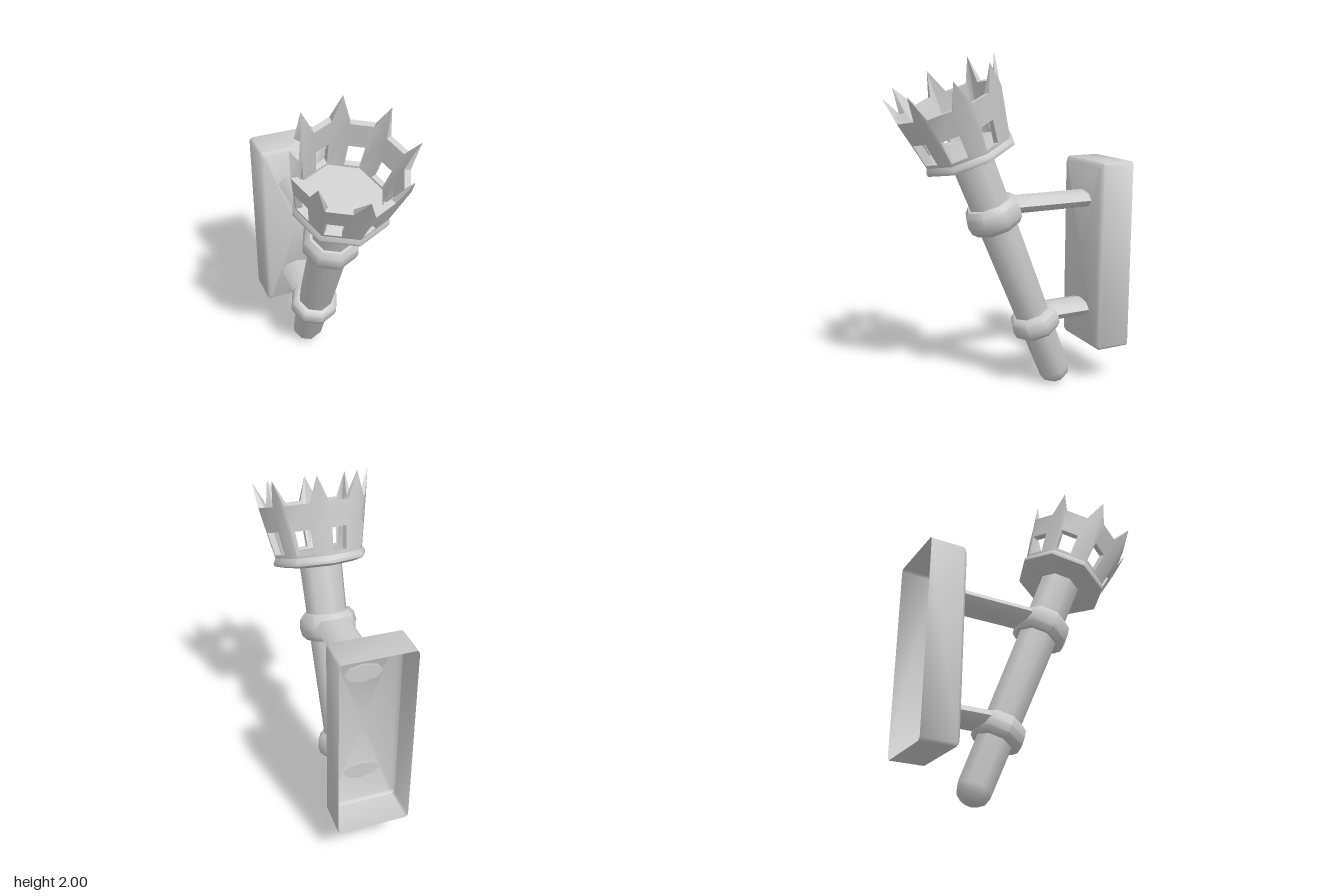
import * as THREE from 'three';
import { mergeGeometries, toCreasedNormals } from 'three/addons/utils/BufferGeometryUtils.js';

const SIDES = 8;
const grey = new THREE.MeshStandardMaterial({ color: 0xcccccc, side: THREE.DoubleSide });

function part(name, geometry, crease = 0.85) {
  const mesh = new THREE.Mesh(toCreasedNormals(geometry, crease), grey);
  mesh.name = name;
  return mesh;
}

// Eight-sided turned part from [radius, height] pairs, bottom to top
function turned(name, profile, crease) {
  return part(name, new THREE.LatheGeometry(profile.map(p => new THREE.Vector2(...p)), SIDES), crease);
}

// Swollen collar around the shaft
function collar(name, height, radius, half) {
  return turned(name, [
    [0.09, height - half], [radius - 0.035, height - half], [radius - 0.008, height - half * 0.6],
    [radius, height], [radius - 0.008, height + half * 0.6], [radius - 0.035, height + half], [0.09, height + half],
  ]);
}

// Pierced crown: one flat panel per side, each with a window and an off-centre spike
function crownGeometry() {
  const floor = 1.6, valley = 1.89, tip = 2.03, wall = 0.035;
  const panel = new THREE.Shape([
    [0, floor], [1, floor], [1, valley], [0.78, tip], [0.56, valley], [0, valley],
  ].map(p => new THREE.Vector2(...p)));
  panel.holes.push(new THREE.Path([
    [0.04, 1.62], [0.04, 1.75], [0.5, 1.75], [0.5, 1.62],
  ].map(p => new THREE.Vector2(...p))));
  const panels = [];
  for (let i = 0; i < SIDES; i++) {
    const g = new THREE.ExtrudeGeometry(panel, { depth: 1, bevelEnabled: false });
    const pos = g.attributes.position;
    const a = i * Math.PI * 2 / SIDES, b = a + Math.PI * 2 / SIDES;
    for (let k = 0; k < pos.count; k++) {
      const u = pos.getX(k), t = pos.getY(k), d = pos.getZ(k);
      // The wall flares upward and thins towards each spike tip
      const thin = 1 - 0.9 * Math.max(0, (t - valley) / (tip - valley));
      const r = 0.26 + 0.2 * (t - floor) - (1 - d) * wall * thin;
      pos.setXYZ(k,
        r * THREE.MathUtils.lerp(Math.sin(a), Math.sin(b), u), t,
        r * THREE.MathUtils.lerp(Math.cos(a), Math.cos(b), u));
    }
    panels.push(g);
  }
  return mergeGeometries(panels);
}

// Wall plate: thin shell, open at the back, with bevelled front edges
function plateGeometry() {
  const loops = [[0.21, 0.573, -0.71], [0.21, 0.573, -0.51], [0.19, 0.553, -0.49]];
  const c = 0.015, n = 8, verts = [], index = [];
  for (const [w, h, z] of loops) {
    for (const [x, y] of [[w, c - h], [w, h - c], [w - c, h], [c - w, h],
      [-w, h - c], [-w, c - h], [c - w, -h], [w - c, -h]]) verts.push(x, y, z);
  }
  verts.push(0, 0, -0.49);
  for (let j = 0; j < n; j++) {
    const k = (j + 1) % n;
    for (let l = 0; l < 2; l++) {
      const a = l * n + j, b = l * n + k;
      index.push(a, b, b + n, a, b + n, a + n);
    }
    index.push(2 * n + j, 2 * n + k, 3 * n);
  }
  const g = new THREE.BufferGeometry();
  g.setAttribute('position', new THREE.Float32BufferAttribute(verts, 3));
  g.setIndex(index);
  return g;
}

// Oval arm from the shaft through the wall plate
function arm(name, y, zFront) {
  const zBack = -0.5;
  const g = new THREE.CylinderGeometry(1, 1, zFront - zBack, SIDES);
  g.rotateX(Math.PI / 2);
  g.scale(0.108, 0.055, 1);
  g.translate(0, y, (zFront + zBack) / 2);
  return part(name, g, 0.95);
}

export function createModel() {
  const model = new THREE.Group();
  model.name = 'wallTorch';

  // Leaning torch, built upright around its own axis
  const torch = new THREE.Group();
  torch.name = 'torch';
  torch.position.z = -0.343;
  torch.rotation.x = THREE.MathUtils.degToRad(22);
  torch.add(
    turned('shaft', [[0, 0.018], [0.05, 0.02], [0.085, 0.05], [0.1, 0.095], [0.126, 1.55]], 0.9),
    collar('lowerCollar', 0.45, 0.156, 0.07),
    collar('upperCollar', 1.183, 0.172, 0.078),
    turned('cupBase', [[0.11, 1.537], [0.21, 1.54], [0.272, 1.558], [0.275, 1.575],
      [0.258, 1.605], [0.2, 1.61], [0, 1.61]], 0.8),
    part('crown', crownGeometry()),
  );
  model.add(torch);

  // Wall bracket
  const plate = part('wallPlate', plateGeometry());
  plate.position.y = 0.807;
  model.add(plate, arm('upperArm', 1.147, 0.1), arm('lowerArm', 0.468, -0.16));
  return model;
}
